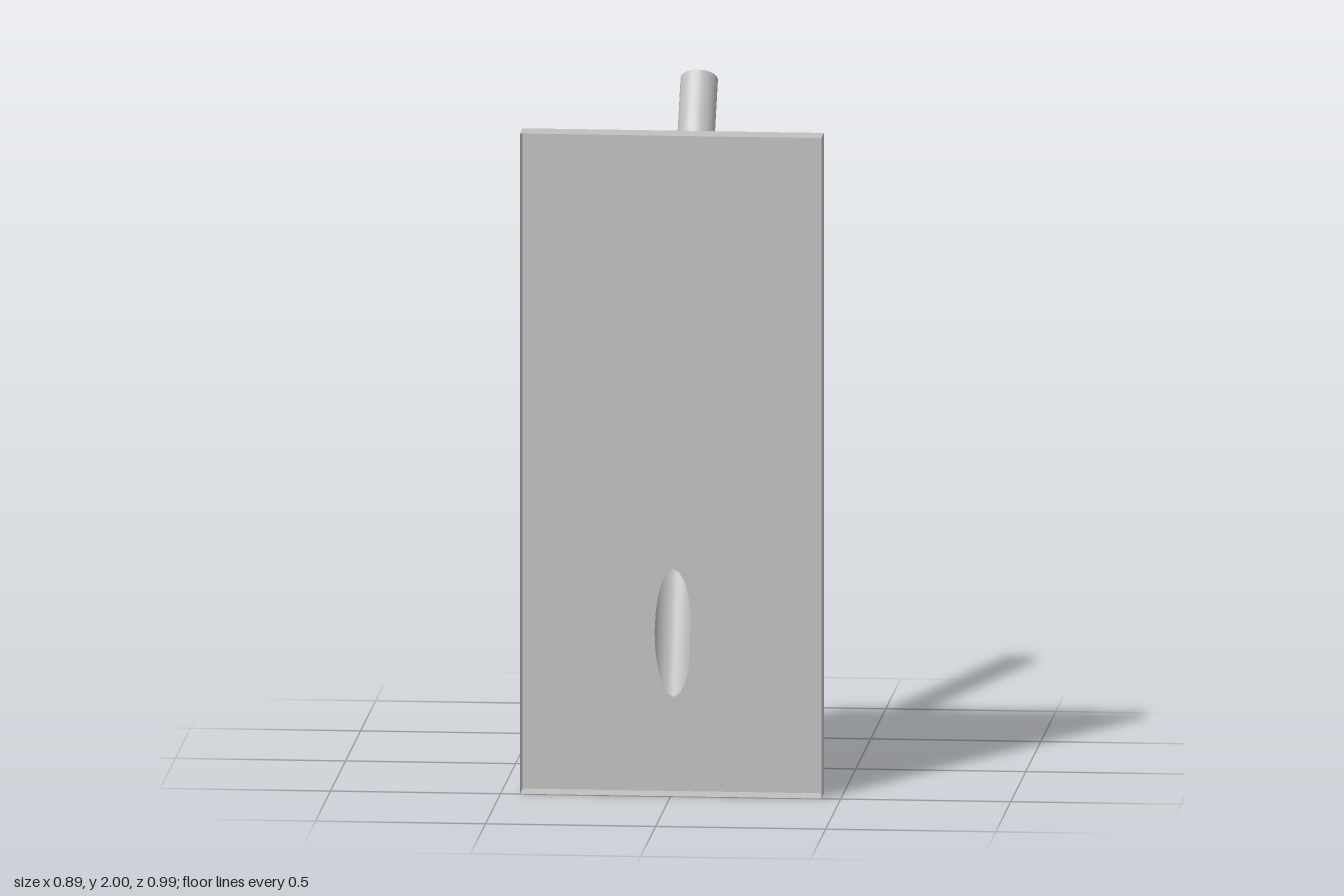
import * as THREE from 'three';

const gray = new THREE.MeshStandardMaterial({ color: 0xc0c0c0, side: THREE.DoubleSide });
gray.name = 'plain gray';

const W = 0.886, H = 1.965, FRONT = 0.497, BACK = 0.41, R = 0.055, SIDES = 20;
const HOLE_Y = 0.47, HOLE_RY = 0.19;

function add(parent, name, geometry, x = 0, y = 0, z = 0) {
  const mesh = new THREE.Mesh(geometry, gray);
  mesh.name = name;
  mesh.position.set(x, y, z);
  parent.add(mesh);
  return mesh;
}

// Sweep of rings; each is [z, y, half-height z, half-height y]
function ringTube(rings) {
  const pos = [], index = [];
  rings.forEach(([z, y, dz, dy], i) => {
    for (let j = 0; j < SIDES; j++) {
      const a = (j / SIDES) * Math.PI * 2, s = Math.sin(a);
      pos.push(R * Math.cos(a), y + dy * s, z + dz * s);
      if (i === 0) continue;
      const k = (j + 1) % SIDES, p = (i - 1) * SIDES, q = i * SIDES;
      index.push(p + j, q + k, q + j, p + j, p + k, q + k);
    }
  });
  // wind the faces outwards
  for (let i = 0; i < index.length; i += 3) {
    [index[i + 1], index[i + 2]] = [index[i + 2], index[i + 1]];
  }
  const g = new THREE.BufferGeometry();
  g.setAttribute('position', new THREE.Float32BufferAttribute(pos, 3));
  g.setIndex(index);
  g.computeVertexNormals();
  return g;
}

export function createModel() {
  const model = new THREE.Group();
  model.name = 'trayWithCurvedTube';

  // Thin-walled tray, open at the front
  const tray = new THREE.Group();
  tray.name = 'tray';
  model.add(tray);

  const panel = new THREE.Shape();
  panel.moveTo(-W / 2, 0);
  panel.lineTo(W / 2, 0);
  panel.lineTo(W / 2, H);
  panel.lineTo(-W / 2, H);
  panel.closePath();
  const hole = new THREE.Path();
  hole.absellipse(0, HOLE_Y, R, HOLE_RY, 0, Math.PI * 2, true);
  panel.holes.push(hole);
  const back = add(tray, 'backPanel', new THREE.ShapeGeometry(panel, SIDES / 2), 0, 0, BACK);
  back.rotation.y = Math.PI; // faces the back

  const depth = FRONT - BACK, midZ = (FRONT + BACK) / 2;
  for (const s of [-1, 1]) {
    const side = add(tray, s > 0 ? 'leftWall' : 'rightWall',
      new THREE.PlaneGeometry(depth, H), s * W / 2, H / 2, midZ);
    side.rotation.y = s * Math.PI / 2;
    const edge = add(tray, s > 0 ? 'topWall' : 'bottomWall',
      new THREE.PlaneGeometry(W, depth), 0, s > 0 ? H : 0, midZ);
    edge.rotation.x = -s * Math.PI / 2;

    // Small blocks low on the back
    add(model, s > 0 ? 'leftBlock' : 'rightBlock',
      new THREE.BoxGeometry(0.123, 0.122, 0.055), s * 0.307, 0.138, BACK - 0.0275);
  }

  // Open curved tube leaning away from the hole
  add(model, 'curvedTube', ringTube([
    [BACK, HOLE_Y, 0, HOLE_RY],
    [0.275, 0.835, 0.048, 0.025],
    [0.155, 1.075, 0.047, 0.028],
    [-0.015, 1.32, 0.045, 0.031],
    [-0.224, 1.637, 0.043, 0.033],
    [-0.453, 1.965, 0.042, 0.035],
  ]));

  return model;
}
